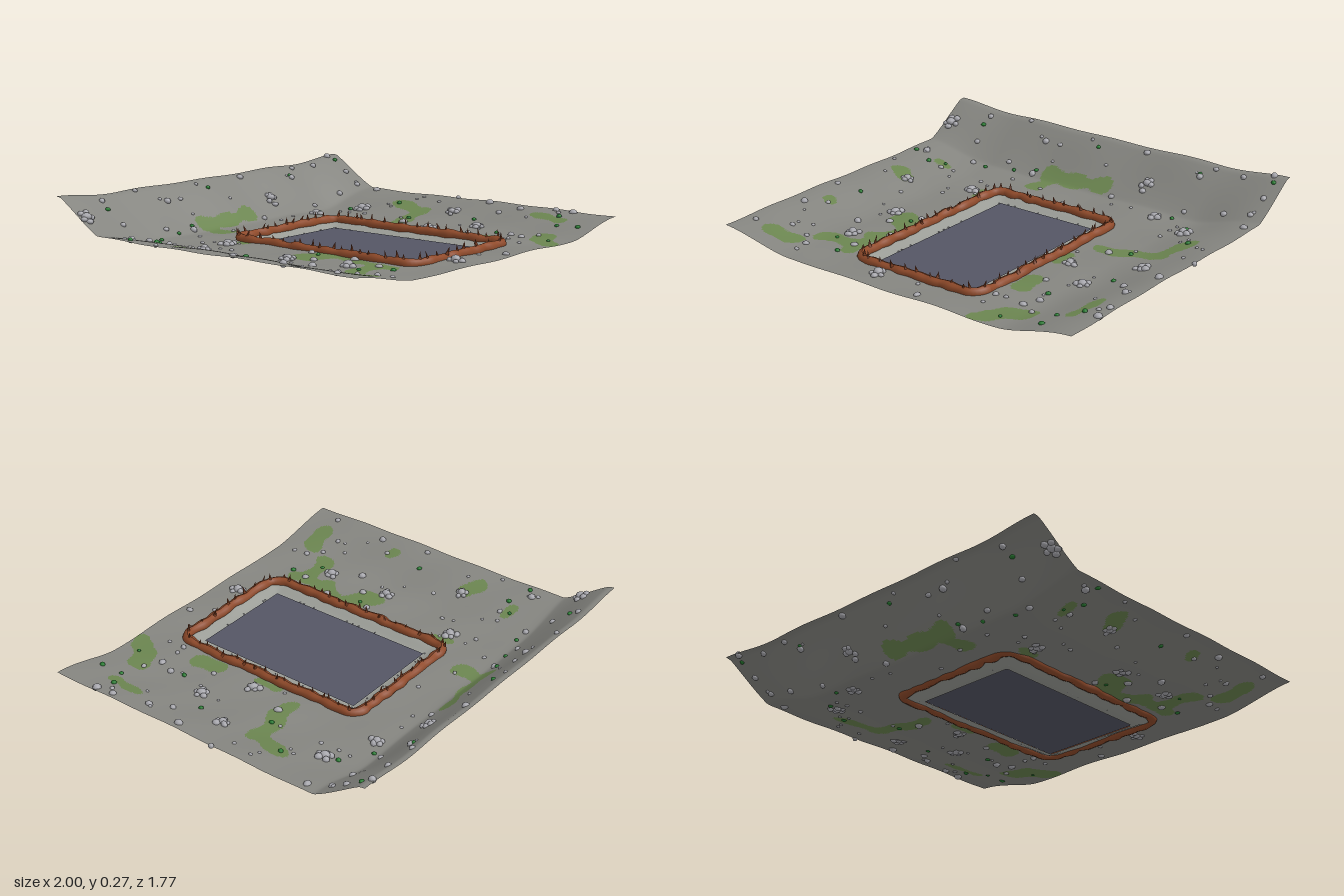
import * as THREE from 'three';
import { mergeGeometries } from 'three/addons/utils/BufferGeometryUtils.js';

const mat = (name, color, side = THREE.FrontSide) =>
  Object.assign(new THREE.MeshStandardMaterial({ color, side }), { name });

let seed = 7;
const rnd = () => (seed = (seed * 16807) % 2147483647) / 2147483647;
const range = (a, b) => a + (b - a) * rnd();
const step = THREE.MathUtils.smoothstep;

// Pool outline: centre and half sizes
const CX = -0.0075, CZ = 0.167, RX = 0.357, RZ = 0.528;
const WX = 0.275, WZ = 0.45;

// Signed distance to a rounded rectangle round the pool centre
function rectDist(x, z, hx, hz, r) {
  const qx = Math.abs(x - CX) - hx + r, qz = Math.abs(z - CZ) - hz + r;
  return Math.hypot(Math.max(qx, 0), Math.max(qz, 0)) + Math.min(Math.max(qx, qz), 0) - r;
}

// Ground height: flat floor, raised sides, steep back bank, shallow pool
function ground(x, z) {
  const back = step(-z, 0.58, 0.92) * 0.35 + THREE.MathUtils.clamp((-z - 0.62) / 0.24, 0, 1) * 0.65;
  const side = step(Math.abs(x), 0.6, 1.0);
  const bumps = 0.003 * Math.sin(x * 13 + z * 5) + 0.002 * Math.sin(z * 17 - x * 9 + 1);
  const dip = 1 - step(rectDist(x, z, RX, RZ, 0.08), -0.09, 0.0);
  return 0.03 + 0.207 * back + 0.07 * side * (1 - 0.75 * back) + bumps * (1 - dip) - 0.027 * dip;
}

// Moss patches as capsules: x1, z1, x2, z2, radius
const MOSS = [
  [-0.27, -0.65, 0.07, -0.66, 0.035], [-0.23, -0.64, -0.25, -0.51, 0.045],
  [-0.85, -0.21, -0.82, -0.18, 0.05], [-0.79, -0.44, -0.76, -0.44, 0.03],
  [0.81, -0.29, 0.76, -0.16, 0.045], [0.76, -0.12, 0.48, -0.07, 0.045],
  [0.42, 0.41, 0.45, 0.49, 0.05], [0.86, 0.49, 0.83, 0.66, 0.028],
  [0.62, 0.7, 0.5, 0.81, 0.055], [0.45, 0.86, 0.5, 0.81, 0.03],
  [-0.5, 0.2, -0.43, 0.25, 0.065], [-0.41, 0.38, -0.47, 0.45, 0.05],
  [-0.65, 0.6, -0.45, 0.56, 0.045], [-0.46, 0.45, -0.45, 0.65, 0.035],
  [-0.82, 0.75, -0.73, 0.73, 0.05], [-0.86, 0.33, -0.85, 0.34, 0.032],
  [-0.43, -0.34, -0.41, -0.26, 0.028], [0.39, 0.08, 0.4, 0.17, 0.025],
];
function isMoss(x, z) {
  const wobble = 0.008 * Math.sin(x * 37 + z * 11) + 0.008 * Math.sin(z * 41 - x * 17);
  return MOSS.some(([x1, z1, x2, z2, r]) => {
    const dx = x2 - x1, dz = z2 - z1;
    const t = THREE.MathUtils.clamp(((x - x1) * dx + (z - z1) * dz) / (dx * dx + dz * dz), 0, 1);
    return Math.hypot(x - x1 - dx * t, z - z1 - dz * t) < r + wobble;
  });
}

// Ground sheet with face groups for rock, moss and pool shore
function groundGeometry() {
  const g = new THREE.PlaneGeometry(1.985, 1.775, 190, 170).rotateX(-Math.PI / 2).translate(-0.0075, 0, 0);
  const p = g.attributes.position;
  for (let i = 0; i < p.count; i++) p.setY(i, ground(p.getX(i), p.getZ(i)));
  g.computeVertexNormals();
  const lists = [[], [], []], idx = g.index.array;
  for (let i = 0; i < idx.length; i += 3) {
    const tri = [idx[i], idx[i + 1], idx[i + 2]];
    const x = tri.reduce((s, k) => s + p.getX(k), 0) / 3;
    const z = tri.reduce((s, k) => s + p.getZ(k), 0) / 3;
    if (rectDist(x, z, WX - 0.012, WZ - 0.012, 0.02) < 0) continue; // open under the water
    const kind = rectDist(x, z, RX, RZ, 0.08) < 0 ? 2 : isMoss(x, z) ? 1 : 0;
    lists[kind].push(...tri);
  }
  g.setIndex(lists.flat());
  let start = 0;
  lists.forEach((l, m) => { g.addGroup(start, l.length, m); start += l.length; });
  return g;
}

// Squashed round stone resting half sunk at a point
function stone(x, z, r, lift = 0) {
  return new THREE.SphereGeometry(r, 8, 6)
    .scale(range(0.85, 1.15), range(0.7, 0.95), range(0.85, 1.15))
    .rotateY(range(0, 6)).translate(x, ground(x, z) + lift, z);
}

const CLUSTERS = [[-0.48, -0.3], [0.29, -0.72], [0.445, -0.55], [0.68, -0.44], [-0.78, -0.16], [-0.585, 0.16],
  [0.455, 0.155], [0.78, 0.06], [0.635, 0.315], [-0.565, 0.49], [-0.16, 0.77], [-0.96, -0.73]];
const SINGLES = [[0.6, -0.85], [0.54, -0.8], [-0.77, -0.83], [-0.76, -0.7], [-0.29, -0.79], [-0.38, -0.79],
  [-0.355, -0.64], [-0.52, -0.66], [0.14, -0.63], [0.2, -0.85], [0.91, -0.66], [0.925, -0.75], [0.94, -0.55],
  [0.765, -0.66], [0.55, -0.65], [0.91, -0.87], [0.76, -0.84], [-0.92, -0.48], [-0.7, -0.59], [-0.76, -0.4],
  [0.525, -0.05], [0.945, 0.175], [0.845, 0.3], [0.91, 0.385], [0.955, 0.565], [0.96, 0.66], [0.58, 0.555],
  [0.4, 0.635], [0.55, 0.635], [0.125, 0.84], [0.63, 0.68], [-0.95, 0.17], [-0.925, 0.435], [-0.65, 0.36],
  [-0.81, 0.64], [-0.47, 0.585], [-0.41, 0.4], [-0.945, 0.745], [-0.65, 0.72], [-0.53, 0.265], [-0.42, 0.16],
  [0.48, 0.375], [0.985, -0.05]];
const GREENS = [[-0.07, -0.815], [-0.78, -0.78], [-0.465, -0.63], [-0.345, -0.66], [-0.62, -0.59], [-0.96, -0.445],
  [-0.77, -0.45], [-0.84, -0.4], [0.535, -0.81], [0.52, -0.59], [0.66, -0.5], [0.8, -0.29], [-0.83, 0.135],
  [-0.44, 0.215], [0.74, 0.225], [0.62, -0.09], [0.875, 0.635], [0.77, 0.69], [0.545, 0.79], [0.775, 0.805],
  [-0.49, 0.68], [-0.59, 0.57], [0.57, 0.48], [0.93, -0.83]];

export function createModel() {
  const group = new THREE.Group();
  const rock = mat('rock grey', 0x858580, THREE.DoubleSide);
  const moss = mat('moss green', 0x6b8550, THREE.DoubleSide);
  const shore = mat('shore grey', 0x9a9c96, THREE.DoubleSide);
  const water = mat('water slate', 0x555665, THREE.DoubleSide);
  const rust = mat('rim brown', 0x8f4a2a);
  const darkRust = mat('thorn brown', 0x7a3c20);
  const pebble = mat('pebble grey', 0xa6a6ac);
  const leaf = mat('tuft green', 0x267a30);
  const add = (name, geometry, material) => {
    const m = new THREE.Mesh(geometry, material);
    m.name = name;
    group.add(m);
  };

  add('ground', groundGeometry(), [rock, moss, shore]);
  add('water', new THREE.PlaneGeometry(WX * 2, WZ * 2).rotateX(-Math.PI / 2).translate(CX, 0.012, CZ), water);

  // Lumpy raised rim following a rounded rectangle
  const path = new THREE.Path(), c = 0.07;
  path.absarc(RX - c, RZ - c, c, 0, Math.PI / 2);
  path.absarc(c - RX, RZ - c, c, Math.PI / 2, Math.PI);
  path.absarc(c - RX, c - RZ, c, Math.PI, Math.PI * 1.5);
  path.absarc(RX - c, c - RZ, c, Math.PI * 1.5, Math.PI * 2);
  path.closePath();
  const points = path.getSpacedPoints(72).slice(0, -1).map((p) =>
    new THREE.Vector3(CX + p.x + range(-0.004, 0.004), 0.036 + range(-0.003, 0.003), CZ + p.y + range(-0.004, 0.004)));
  const curve = new THREE.CatmullRomCurve3(points, true);
  const rim = new THREE.TubeGeometry(curve, 240, 0.024, 8, true);
  const pos = rim.attributes.position, nor = rim.attributes.normal;
  for (let i = 0; i < pos.count; i++) {
    const a = (Math.floor(i / 9) / 240) * Math.PI * 2;
    const d = 0.002 * Math.sin(a * 23) + 0.0015 * Math.sin(a * 37 + 1);
    pos.setXYZ(i, pos.getX(i) + nor.getX(i) * d, pos.getY(i) + nor.getY(i) * d, pos.getZ(i) + nor.getZ(i) * d);
  }
  rim.computeVertexNormals();
  add('rim', rim, rust);

  // Thorns standing on the rim
  const thorns = [];
  for (let i = 0; i < 56; i++) {
    const p = curve.getPointAt((i + rnd() * 0.8) / 56), h = range(0.025, 0.045);
    thorns.push(new THREE.ConeGeometry(range(0.007, 0.011), h, 6).translate(0, h / 2, 0)
      .rotateX(range(-0.35, 0.35)).rotateZ(range(-0.35, 0.35))
      .translate(p.x + range(-0.01, 0.01), p.y + 0.014, p.z + range(-0.01, 0.01)));
  }
  add('thorns', mergeGeometries(thorns), darkRust);

  // Stone piles, single stones and grit
  const stones = [];
  for (const [x, z] of CLUSTERS) {
    stones.push(stone(x, z, 0.023, 0.008));
    for (let k = 0; k < 5; k++) {
      const a = k * 1.257 + range(0, 0.5), d = range(0.018, 0.034);
      stones.push(stone(x + Math.cos(a) * d, z + Math.sin(a) * d, range(0.012, 0.019), 0.003));
    }
  }
  for (const [x, z] of SINGLES) stones.push(stone(x, z, x > 0.97 ? 0.014 : range(0.013, 0.02)));
  for (let i = 0; i < 70; i++) {
    const x = range(-0.97, 0.96), z = range(-0.87, 0.87);
    if (rectDist(x, z, RX, RZ, 0.08) > 0.04) stones.push(stone(x, z, range(0.007, 0.012)));
  }
  for (let i = 0; i < 26; i++) { // grit along the waterline
    const s = i % 2 ? 1 : -1, alongZ = i % 3;
    const x = alongZ ? CX + s * (WX + 0.01) : CX + range(-WX, WX);
    const z = alongZ ? CZ + range(-WZ, WZ) : CZ + s * (WZ + 0.01);
    stones.push(stone(x, z, 0.004, 0.003));
  }
  add('stones', mergeGeometries(stones), pebble);

  add('greenTufts', mergeGeometries(GREENS.map(([x, z]) => stone(x, z, range(0.009, 0.014), 0.002))), leaf);
  return group;
}
